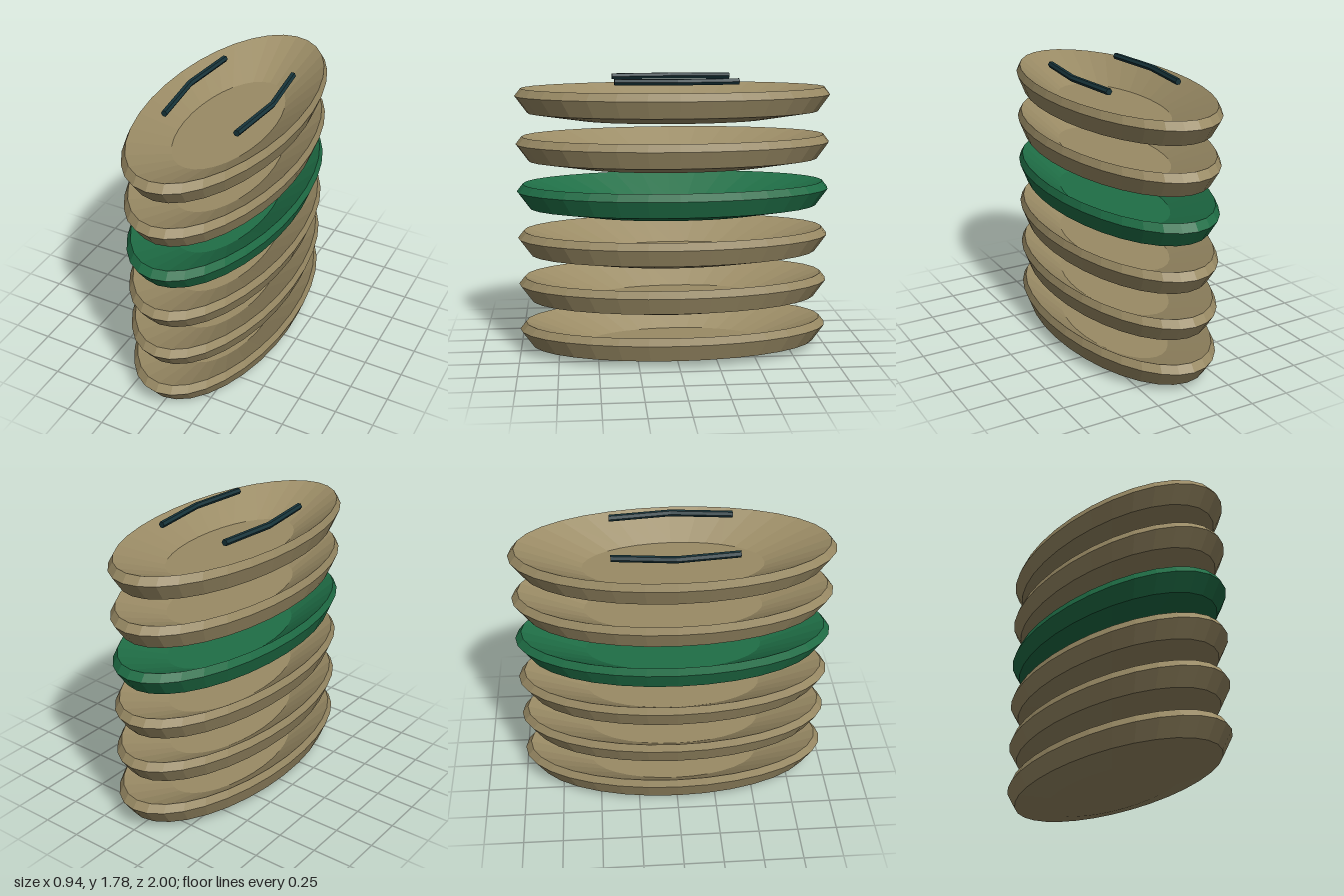
import * as THREE from 'three';

export function createModel() {
  const model = new THREE.Group();
  model.name = 'dishStack';

  const makeMaterial = (name, color) => {
    const m = new THREE.MeshStandardMaterial({ color, flatShading: true });
    m.name = name;
    return m;
  };
  const tan = makeMaterial('tan', 0x9a8b65);
  const green = makeMaterial('green', 0x1f6e46);
  const darkTeal = makeMaterial('darkTeal', 0x17343a);

  // Oval dish: a closed profile turned around y, then narrowed across x
  const profile = [
    [0, 0], [0.6, 0], [0.923, 0.047], [1, 0.153],
    [0.962, 0.201], [0.56, 0.05], [0, 0.05],
  ].map(([r, y]) => new THREE.Vector2(r, y));
  const dishGeometry = new THREE.LatheGeometry(profile, 32).scale(0.469, 1, 1);

  // Stack of six evenly spaced dishes, one of them green
  for (let i = 0; i < 6; i++) {
    const dish = new THREE.Mesh(dishGeometry, i === 3 ? green : tan);
    dish.name = `dish${i + 1}`;
    dish.position.y = i * 0.302;
    model.add(dish);
  }

  // Hexagonal bars above the top dish, bent outwards in the middle
  for (const side of [1, -1]) {
    const geometry = new THREE.CylinderGeometry(0.021, 0.021, 0.765, 6, 2)
      .rotateY(Math.PI / 6)
      .rotateX(Math.PI / 2);
    const pos = geometry.attributes.position;
    for (let i = 0; i < pos.count; i++) {
      pos.setX(i, pos.getX(i) + side * (0.278 - 0.108 * Math.abs(pos.getZ(i))));
    }
    geometry.computeVertexNormals();
    const bar = new THREE.Mesh(geometry, darkTeal);
    bar.name = side > 0 ? 'leftBar' : 'rightBar';
    bar.position.y = 1.763;
    model.add(bar);
  }

  return model;
}
